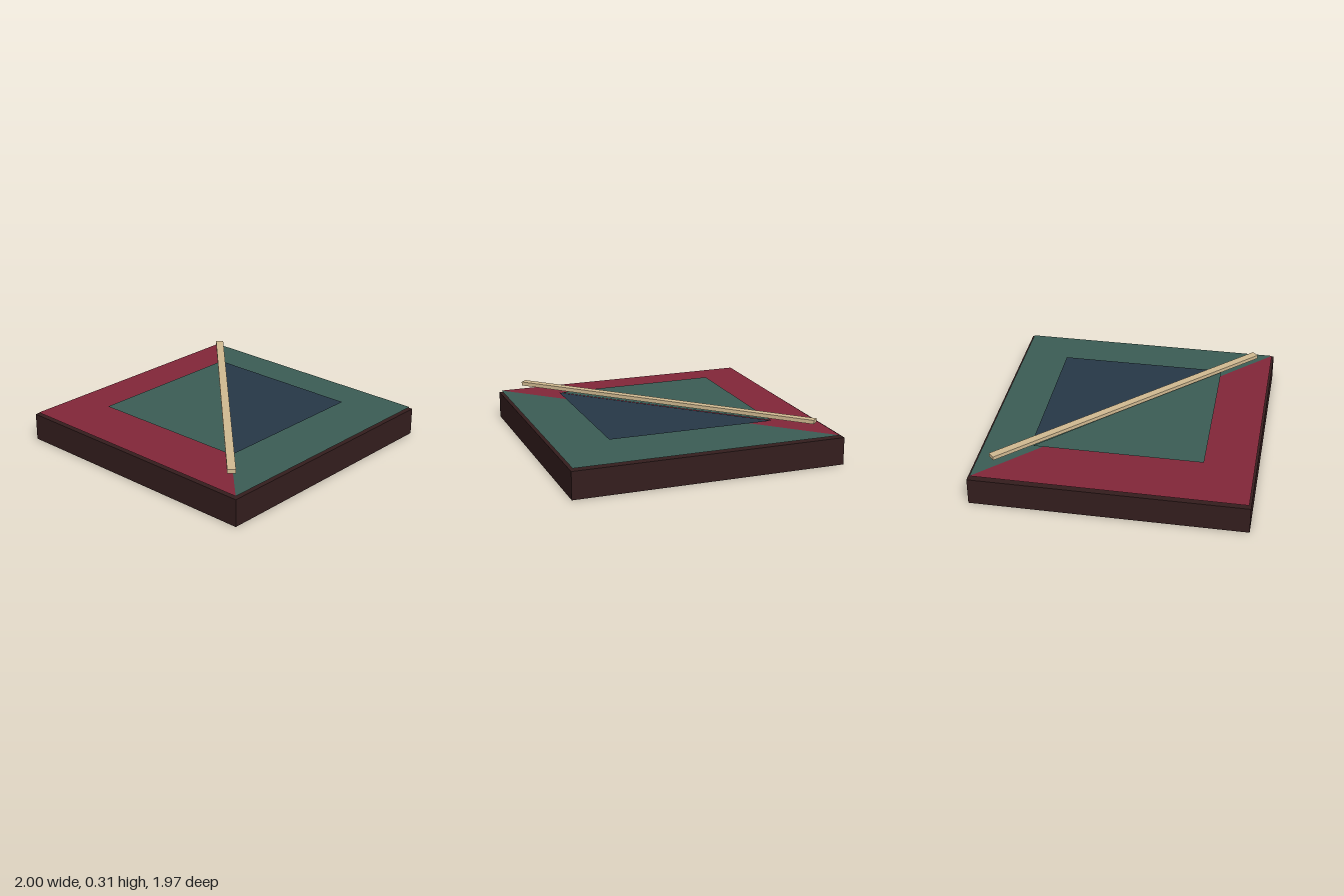
import * as THREE from 'three';

const material = (name, color, side = THREE.FrontSide) => {
  const m = new THREE.MeshStandardMaterial({ color, side });
  m.name = name;
  return m;
};

export function createModel() {
  const model = new THREE.Group();
  model.name = 'diagonalPanel';

  const darkWood = material('darkWood', 0x331d1d);
  const crimson = material('crimson', 0x812639, THREE.DoubleSide);
  const green = material('green', 0x3b5c54, THREE.DoubleSide);
  const navy = material('navy', 0x263846, THREE.DoubleSide);
  const tan = material('tan', 0xd0b991);

  const add = (name, geometry, mat) => {
    const mesh = new THREE.Mesh(geometry, mat);
    mesh.name = name;
    model.add(mesh);
    return mesh;
  };

  // Flat sheet from [x, z] corners, lying at height y
  const sheet = (name, corners, y, mat) => {
    const shape = new THREE.Shape(corners.map(([x, z]) => new THREE.Vector2(x, -z)));
    const geometry = new THREE.ShapeGeometry(shape).rotateX(-Math.PI / 2);
    add(name, geometry, mat).position.y = y;
  };

  // Base slab, its top edge showing as a narrow border
  add('base', new THREE.BoxGeometry(2, 0.2, 1.97), darkWood).position.y = 0.1;

  // Outer field just above the base, split along the diagonal
  const outerY = 0.215;
  sheet('outerFrontLeftField', [[-0.973, -0.97], [-0.98, 0.97], [0.985, 0.97]], outerY, crimson);
  sheet('outerBackRightField', [[-0.973, -0.97], [0.985, 0.97], [0.985, -0.97]], outerY, green);

  // Inner square raised above the outer field, split along the same diagonal
  const innerY = 0.26;
  sheet('innerFrontLeftField', [[-0.607, -0.605], [-0.607, 0.617], [0.61, 0.605]], innerY, green);
  sheet('innerBackRightField', [[-0.607, -0.62], [0.618, 0.605], [0.618, -0.62]], innerY, navy);

  // Bar floating above the diagonal
  const bar = add('diagonalBar', new THREE.BoxGeometry(2.38, 0.028, 0.058), tan);
  bar.position.y = 0.297;
  bar.rotation.y = -Math.atan2(0.845, 0.835);

  return model;
}
